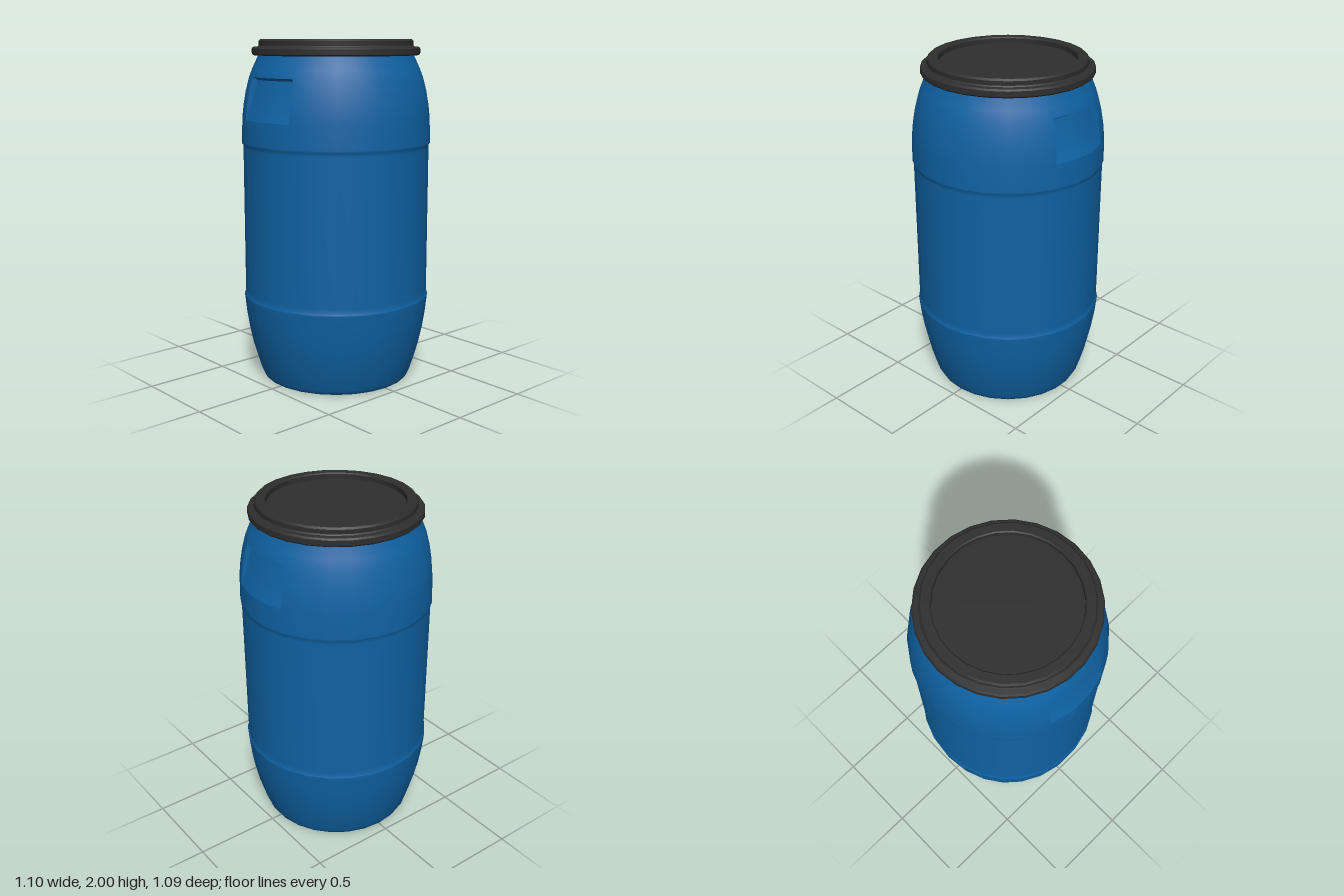
import * as THREE from 'three';
import { toCreasedNormals } from 'three/addons/utils/BufferGeometryUtils.js';

const SIDES = 26;
const STEP = (Math.PI * 2) / SIDES;
const START = Math.PI / 2; // puts a corner on the x axis and a facet on the z axis
const toPoints = (list) => list.map(([r, y]) => new THREE.Vector2(r, y));

// Outer wall between the bottom and the top of each grip, and the pressed-in floor
const gripWall = [[0.547, 1.55], [0.538, 1.63], [0.524, 1.71], [0.503, 1.79]];
const gripFloor = [[0.547, 1.55], [0.511, 1.635], [0.474, 1.775], [0.503, 1.79]];

// Radius and height, from the middle of the underside up to the neck
const belowGrip = [
  [0, 0.05], [0.34, 0.05], [0.375, 0.04], [0.405, 0.008], [0.42, 0], [0.437, 0.004], [0.452, 0.03],
  [0.474, 0.1], [0.5, 0.19], [0.522, 0.29], [0.538, 0.39], [0.548, 0.48], [0.55, 0.5],
  [0.55, 0.508], [0.544, 0.516], [0.543, 0.54], [0.543, 1.38], [0.544, 1.398], [0.55, 1.404], [0.55, 1.415],
];
const aboveGrip = [[0.483, 1.84], [0.455, 1.9], [0.45, 1.93]];

export function createModel() {
  const blue = new THREE.MeshStandardMaterial({ color: 0x0f62a3 });
  const blueTwoSided = new THREE.MeshStandardMaterial({ color: 0x0f62a3, side: THREE.DoubleSide });
  blue.name = 'blue plastic';
  blueTwoSided.name = 'blue plastic two sided';
  const black = new THREE.MeshStandardMaterial({ color: 0x2e2e2e });
  black.name = 'black plastic';

  const model = new THREE.Group();
  model.name = 'barrel';
  const add = (name, geometry, material) => {
    const mesh = new THREE.Mesh(geometry, material);
    mesh.name = name;
    model.add(mesh);
  };

  // Body: a lathe with the faces at the two grips left out
  const profile = toPoints([...belowGrip, ...gripWall, ...aboveGrip]);
  const body = new THREE.LatheGeometry(profile, SIDES, START);
  const firstRow = belowGrip.length;
  const lastRow = firstRow + gripWall.length - 1;
  const gripStarts = { back: 5, front: 18 }; // first of three facets
  const rows = profile.length - 1;
  const kept = Array.from(body.index.array).filter((_, k) => {
    const quad = Math.floor(k / 6);
    const facet = Math.floor(quad / rows);
    const row = quad % rows;
    const inGrip = Object.values(gripStarts).some((s) => facet >= s && facet < s + 3);
    return !(inGrip && row >= firstRow && row < lastRow);
  });
  body.setIndex(kept);
  add('body', body, blue);

  // Grips: pressed-in floor with an overhanging lip, closed at both ends
  const cheekShape = new THREE.Shape(toPoints([...gripFloor, ...gripWall.slice(1, -1).reverse()]));
  for (const [side, first] of Object.entries(gripStarts)) {
    const phi = START + first * STEP;
    const floor = new THREE.LatheGeometry(toPoints(gripFloor), 3, phi, STEP * 3);
    add(`${side}GripRecess`, toCreasedNormals(floor, 0.6), blue);
    for (const [end, angle] of [['A', phi], ['B', phi + STEP * 3]]) {
      const cheek = new THREE.ShapeGeometry(cheekShape).rotateY(angle - Math.PI / 2);
      add(`${side}GripCheek${end}`, cheek, blueTwoSided);
    }
  }

  // Lid: clamping ring, raised rim and sunken top
  const lid = new THREE.LatheGeometry(toPoints([
    [0.445, 1.91], [0.478, 1.91], [0.486, 1.918], [0.486, 1.948], [0.478, 1.957],
    [0.452, 1.96], [0.447, 1.966], [0.447, 1.99], [0.438, 2],
    [0.392, 2], [0.386, 1.994], [0.386, 1.965], [0, 1.965],
  ]), SIDES, START);
  add('lid', toCreasedNormals(lid, 0.6), black);

  return model;
}
